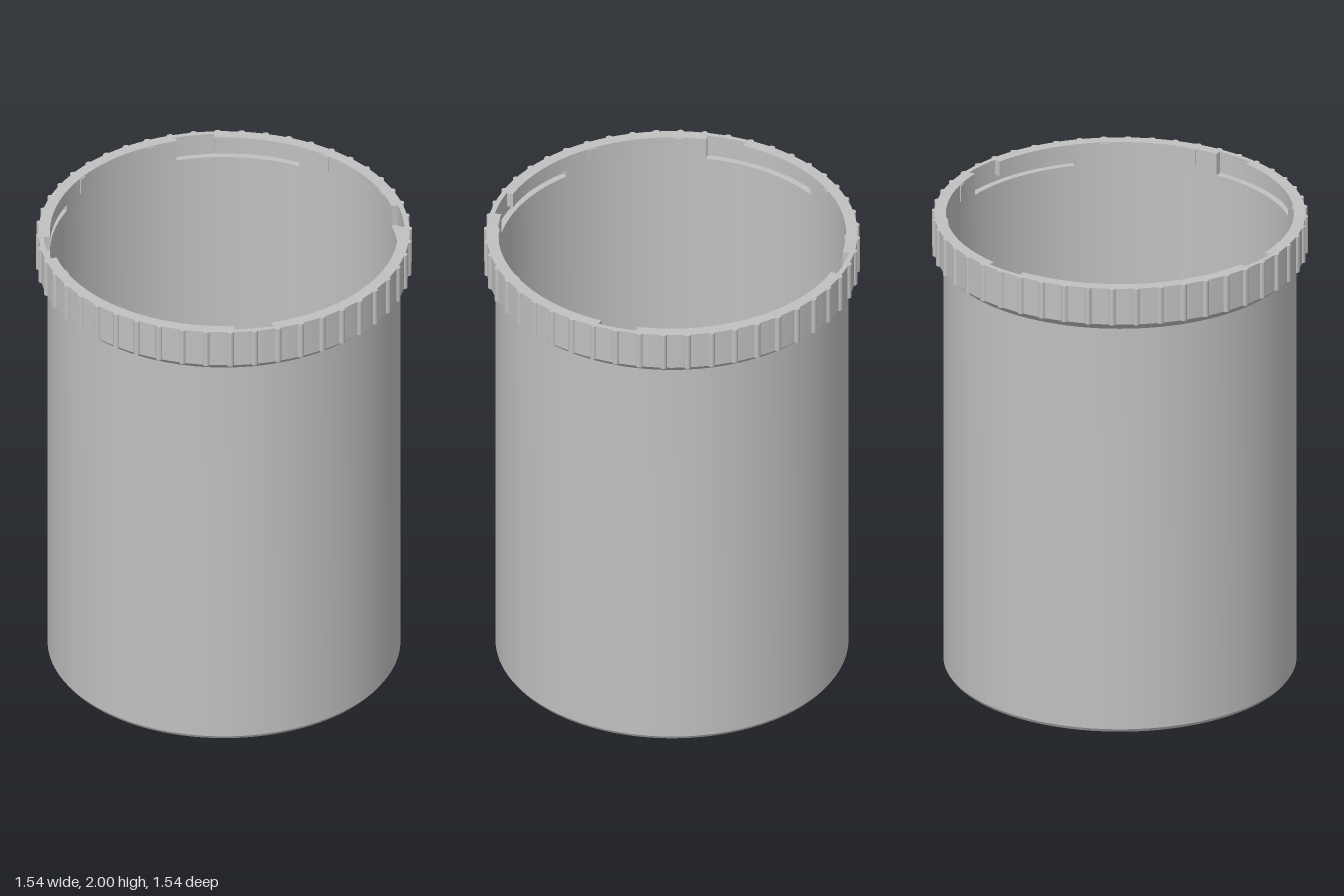
import * as THREE from 'three';
import { toCreasedNormals } from 'three/addons/utils/BufferGeometryUtils.js';

const RIM = 0.757, BORE = 0.71, POCKET = 0.737;
const GROOVE_LOW = 1.905, GROOVE_HIGH = 1.935;
const rad = THREE.MathUtils.degToRad;
const polar = (r, deg) => new THREE.Vector2(r * Math.cos(rad(deg)), r * Math.sin(rad(deg)));

// Flat ring whose bore has four pockets, each spanning from..to degrees
function pocketRing(from, to, y0, y1) {
  const outer = [], inner = [];
  for (let i = 0; i < 192; i++) outer.push(polar(RIM, i * 1.875));
  const arc = (r, a, b) => {
    const n = Math.ceil((b - a) / 1.9);
    for (let i = 0; i <= n; i++) inner.push(polar(r, a + ((b - a) * i) / n));
  };
  for (let q = 0; q < 360; q += 90) {
    arc(POCKET, q + from, q + to);
    arc(BORE, q + to, q + 90 + from);
  }
  const shape = new THREE.Shape(outer);
  shape.holes.push(new THREE.Path(inner));
  const geo = new THREE.ExtrudeGeometry(shape, { depth: y1 - y0, bevelEnabled: false });
  geo.rotateX(Math.PI / 2).translate(0, y1, 0);
  return toCreasedNormals(geo, 0.4);
}

export function createModel() {
  const group = new THREE.Group();
  group.name = 'canister';
  const grey = new THREE.MeshStandardMaterial({ color: 0xc0c0c0 });
  grey.name = 'grey plastic';
  const add = (geo, name, parent = group) => {
    const mesh = new THREE.Mesh(geo, grey);
    mesh.name = name;
    parent.add(mesh);
    return mesh;
  };

  // Thin-walled body with flared collar, floor and hollow centre boss
  const profile = [
    [0, 0], [0.71, 0], [0.72, 0.015], [0.72, 1.805], [RIM, 1.84],
    [RIM, GROOVE_LOW], [BORE, GROOVE_LOW], [0.704, 0.03],
    [0.12, 0.03], [0.12, 0.15], [0.1, 0.15], [0.094, 0.03], [0, 0.03],
  ].map(([x, y]) => new THREE.Vector2(x, y));
  add(toCreasedNormals(new THREE.LatheGeometry(profile, 192), 0.4), 'body');

  // Rim: locking grooves below, entry notches above
  add(pocketRing(-6.3, 35, GROOVE_LOW, GROOVE_HIGH), 'lockingGrooveRing');
  add(pocketRing(-6.3, 6.3, GROOVE_HIGH, 2), 'entryNotchRing');

  // Grip ridges around the rim
  const ridges = new THREE.Group();
  ridges.name = 'gripRidges';
  group.add(ridges);
  const ridgeGeo = new THREE.CylinderGeometry(0.0145, 0.0145, 0.16, 14);
  for (let i = 0; i < 48; i++) {
    const p = polar(0.7535, i * 7.5);
    add(ridgeGeo, 'gripRidge', ridges).position.set(p.x, 1.92, p.y);
  }

  // Small stops inside the rim, two per quarter
  const stops = new THREE.Group();
  stops.name = 'innerStops';
  group.add(stops);
  const stopGeo = new THREE.BoxGeometry(0.012, 0.07, 0.036);
  for (let q = 0; q < 360; q += 90) {
    for (const a of [45, 74.5]) {
      const p = polar(0.7105, q + a);
      const stop = add(stopGeo, 'innerStop', stops);
      stop.position.set(p.x, 1.962, p.y);
      stop.rotation.y = -rad(q + a);
    }
  }
  return group;
}
